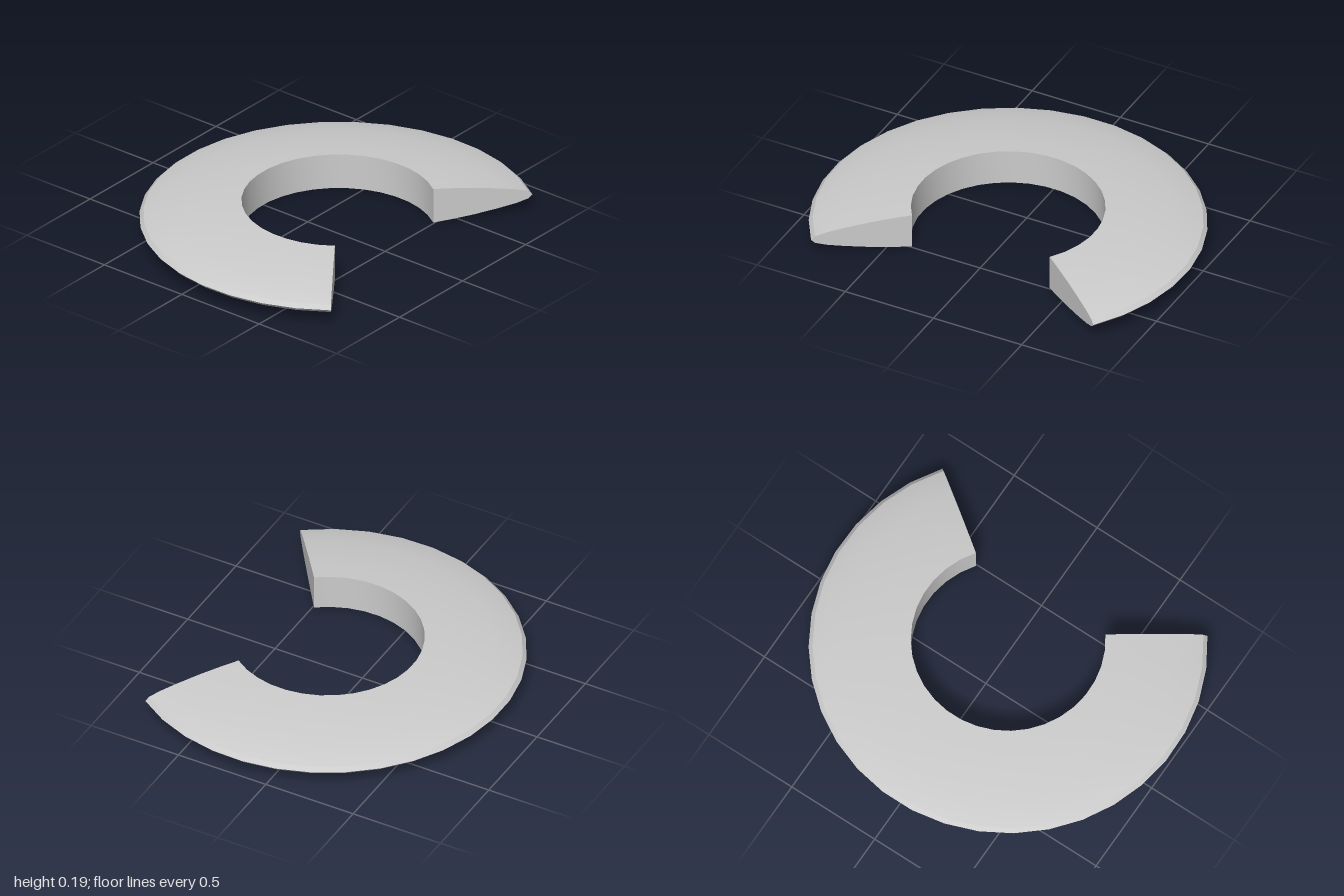
import * as THREE from 'three';
import { toCreasedNormals } from 'three/addons/utils/BufferGeometryUtils.js';

const HEIGHT = 0.19;
const GAP = Math.atan2(0.8, 0.6); // half angle of the opening, which faces +x
const SEGMENTS = 25;

export function createModel() {
  const grey = new THREE.MeshStandardMaterial({ color: 0xcccccc });
  grey.name = 'light grey';

  const group = new THREE.Group();
  group.name = 'openRing';
  group.position.x = 0.2;

  // Upper half of the cross-section, from the rim to the inner edge
  const upper = [[1, 0.095], [0.98, 0.115], [0.92, 0.133], [0.83, 0.15], [0.7, 0.17], [0.59, 0.182], [0.488, HEIGHT]]
    .map(([r, y]) => new THREE.Vector2(r, y));
  const lower = upper.slice(1).reverse().map((p) => new THREE.Vector2(p.x, HEIGHT - p.y));
  const profile = [...lower, ...upper];

  const add = (name, geometry) => {
    const mesh = new THREE.Mesh(geometry, grey);
    mesh.name = name;
    group.add(mesh);
    return mesh;
  };

  // Tapered body swept round the arc, closed by the inner wall
  const sweep = (points) => toCreasedNormals(new THREE.LatheGeometry(
    points, SEGMENTS, Math.PI / 2 + GAP, 2 * Math.PI - 2 * GAP), 0.35);
  add('taperedRing', sweep(profile));
  add('innerWall', sweep([upper[upper.length - 1], lower[0]]));

  // Flat ends either side of the opening
  const endShape = new THREE.Shape(profile);
  add('backEnd', new THREE.ShapeGeometry(endShape)).rotation.y = GAP;
  const flipped = new THREE.ShapeGeometry(endShape).rotateX(Math.PI).translate(0, HEIGHT, 0);
  add('frontEnd', flipped).rotation.y = -GAP;

  return group;
}
